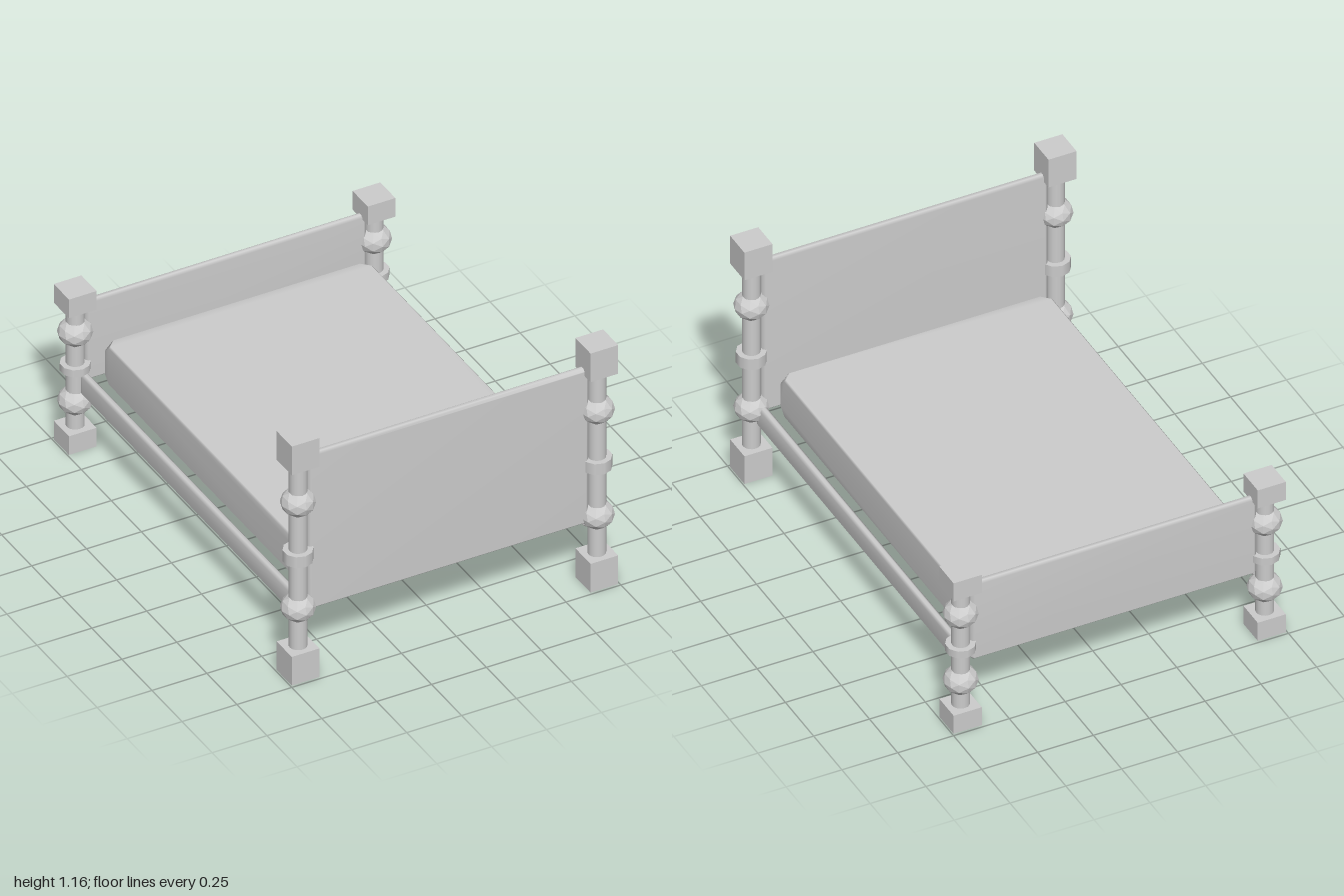
import * as THREE from 'three';
import { mergeVertices } from 'three/addons/utils/BufferGeometryUtils.js';
import { ConvexGeometry } from 'three/addons/geometries/ConvexGeometry.js';

const smooth = new THREE.MeshStandardMaterial({ color: 0xcccccc });
const faceted = new THREE.MeshStandardMaterial({ color: 0xcccccc, flatShading: true });

function add(parent, name, geometry, material, x, y, z) {
  const mesh = new THREE.Mesh(geometry, material);
  mesh.name = name;
  mesh.position.set(x, y, z);
  parent.add(mesh);
  return mesh;
}

// Turned post; k stretches its layout in height, the balls keep their size
function makePost(name, k) {
  const post = new THREE.Group();
  post.name = name;
  const block = 0.139 * k;
  const height = 1.16 * k;
  add(post, 'footBlock', new THREE.BoxGeometry(0.126, block, 0.126), faceted, 0, block / 2, 0);
  add(post, 'topBlock', new THREE.BoxGeometry(0.126, block, 0.126), faceted, 0, height - block / 2, 0);
  add(post, 'shaft', new THREE.CylinderGeometry(0.038, 0.038, height - block, 16), smooth, 0, height / 2, 0);
  add(post, 'ring', new THREE.CylinderGeometry(0.063, 0.063, 0.053 * k, 10), smooth, 0, 0.58 * k, 0);
  for (const y of [0.326, 0.836]) {
    const ball = add(post, 'ball', new THREE.IcosahedronGeometry(0.073, 1), faceted, 0, y * k, 0);
    ball.scale.y = 0.85;
  }
  return post;
}

// Box with narrow edge bevels and larger cut corners, shaded smoothly across its edges
function cutBox(w, h, d, bevel, cut) {
  const points = [];
  for (const sx of [-1, 1]) for (const sy of [-1, 1]) for (const sz of [-1, 1]) {
    for (let axis = 0; axis < 3; axis++) {
      for (const other of [1, 2]) {
        const inset = [0, 0, 0];
        inset[axis] = cut;
        inset[(axis + other) % 3] = bevel;
        points.push(new THREE.Vector3(sx * (w / 2 - inset[0]), sy * (h / 2 - inset[1]), sz * (d / 2 - inset[2])));
      }
    }
  }
  const hull = new ConvexGeometry(points);
  hull.deleteAttribute('normal');
  const geometry = mergeVertices(hull);
  geometry.computeVertexNormals();
  return geometry;
}

export function createModel() {
  const bed = new THREE.Group();
  bed.name = 'bed';
  const postX = 0.681, postZ = 0.926;

  // Corner posts and side rails, mirrored left and right
  for (const side of [-1, 1]) {
    const tall = makePost('headPost', 1);
    tall.position.set(side * postX, 0, postZ);
    const low = makePost('footPost', 0.65);
    low.position.set(side * postX, 0, -postZ);
    bed.add(tall, low);
    add(bed, 'sideRail', cutBox(0.036, 0.099, 1.8, 0.01, 0.014), smooth, side * 0.656, 0.3, 0);
  }

  // End boards, both starting at the same height
  add(bed, 'headboard', cutBox(1.278, 0.752, 0.036, 0.01, 0.014), smooth, 0, 0.676, postZ - 0.005);
  add(bed, 'footboard', cutBox(1.278, 0.382, 0.036, 0.01, 0.014), smooth, 0, 0.49, -postZ + 0.001);

  // Mattress with clipped corners, sunk a little between the rails
  add(bed, 'mattress', cutBox(1.203, 0.188, 1.664, 0.007, 0.04), smooth, 0, 0.425, 0);
  return bed;
}
